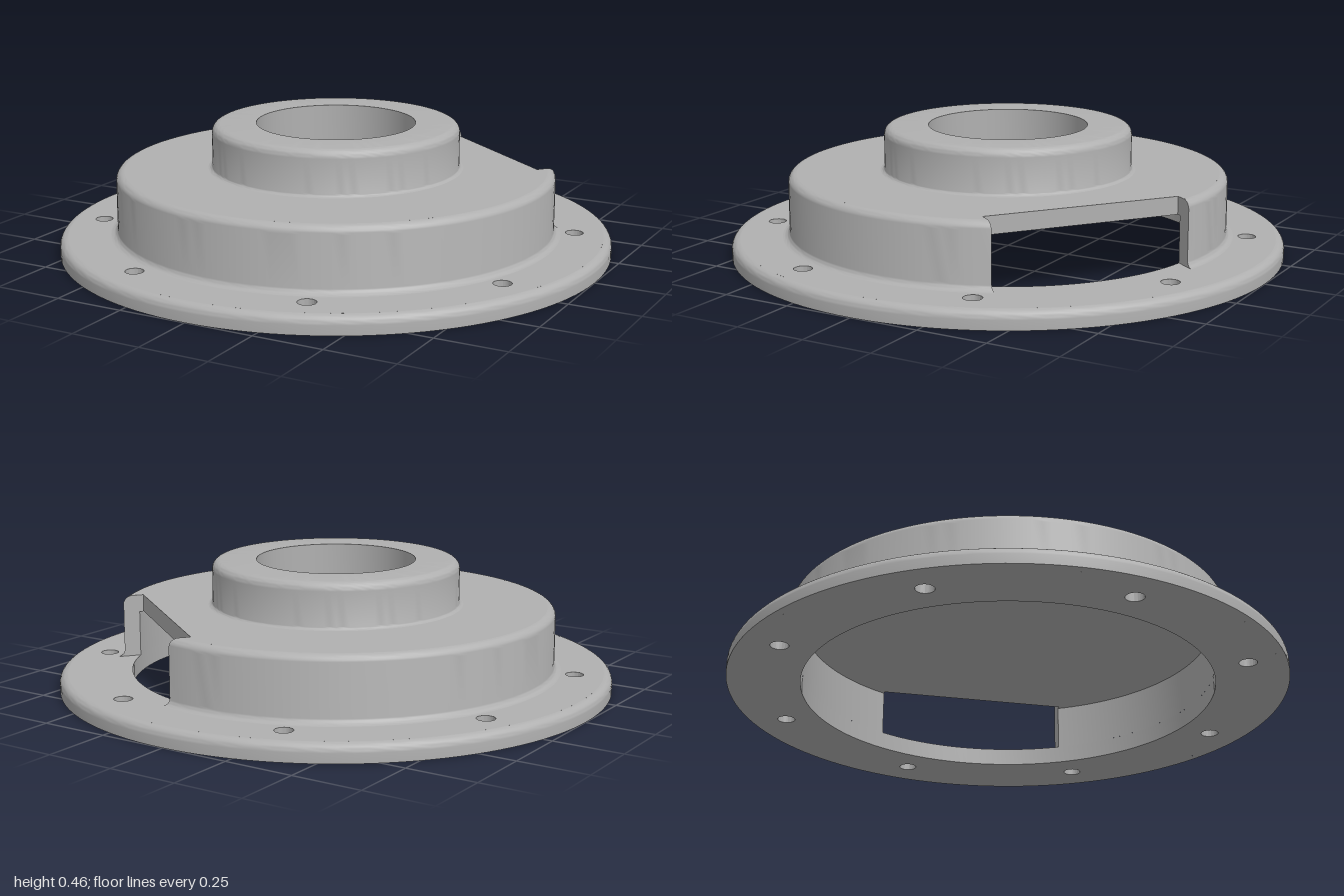
import * as THREE from 'three';
import { toCreasedNormals } from 'three/addons/utils/BufferGeometryUtils.js';

const FLANGE_TOP = 0.064, BODY_TOP = 0.293, BOSS_TOP = 0.455;
const CEILING = 0.23, CAVITY_R = 0.74, BODY_R = 0.793, ROUND = 0.03;
const NOTCH_HALF = 0.355, NOTCH_DEPTH = 0.634; // flat-sided notch through the wall

// Quarter-circle profile points around (cx, cy)
function arc(cx, cy, r, from, to) {
  return Array.from({ length: 8 }, (_, i) => {
    const a = from + ((to - from) * i) / 7;
    return new THREE.Vector2(cx + r * Math.cos(a), cy + r * Math.sin(a));
  });
}

// Wall rising from a base fillet to a rounded top edge
function stepProfile(r, y0, y1, fillet) {
  return [
    ...arc(r + fillet, y0 + fillet, fillet, 1.5 * Math.PI, Math.PI),
    ...arc(r - ROUND, y1 - ROUND, ROUND, 0, Math.PI / 2),
  ];
}

const lathe = (points) => toCreasedNormals(new THREE.LatheGeometry(points, 128), 0.6);

// Lathe whose sweep stops at the two parallel sides of the notch (facing +z)
function notchedLathe(points) {
  const geometry = new THREE.LatheGeometry(points, 128);
  const pos = geometry.attributes.position;
  const rows = points.length;
  for (let i = 0; i < pos.count; i++) {
    const p = points[i % rows];
    const gap = Math.asin(NOTCH_HALF / p.x);
    const phi = gap + (Math.floor(i / rows) / 128) * (2 * Math.PI - 2 * gap);
    pos.setXYZ(i, p.x * Math.sin(phi), p.y, p.x * Math.cos(phi));
  }
  return toCreasedNormals(geometry, 0.6);
}

// Plan shape extruded upwards between two heights
function slab(shape, y0, y1) {
  const geometry = new THREE.ExtrudeGeometry(shape, { depth: y1 - y0, bevelEnabled: false, curveSegments: 96 });
  geometry.rotateX(-Math.PI / 2).translate(0, y0, 0);
  return toCreasedNormals(geometry, 0.6);
}

export function createModel() {
  const model = new THREE.Group();
  model.name = 'flangedCover';
  const metal = new THREE.MeshStandardMaterial({ color: 0xb0b0b0 });
  metal.name = 'grey metal';
  const add = (parent, name, geometry) => {
    const mesh = new THREE.Mesh(geometry, metal);
    mesh.name = name;
    parent.add(mesh);
  };
  const v = (x, y) => new THREE.Vector2(x, y);

  // Flange plate with the cavity opening and eight bolt holes
  const plate = new THREE.Shape().absarc(0, 0, 1 - ROUND, 0, Math.PI * 2);
  const addHole = (x, y, r) => plate.holes.push(new THREE.Path().absarc(x, y, r, 0, Math.PI * 2, true));
  addHole(0, 0, CAVITY_R);
  for (let i = 0; i < 8; i++) {
    const a = ((i + 0.5) * Math.PI) / 4;
    addHole(0.867 * Math.cos(a), 0.867 * Math.sin(a), 0.032);
  }
  add(model, 'flange', slab(plate, 0, FLANGE_TOP));
  add(model, 'flangeRim', lathe([
    v(1 - ROUND, 0), v(1, 0), ...arc(1 - ROUND, FLANGE_TOP - ROUND, ROUND, 0, Math.PI / 2),
  ]));

  // Body, turned so that the notch points to the back left
  const body = new THREE.Group();
  body.name = 'body';
  body.rotation.y = Math.PI - 0.651;
  model.add(body);

  const outer = stepProfile(BODY_R, FLANGE_TOP, BODY_TOP, 0.025);
  add(body, 'outerWall', notchedLathe(outer));
  add(body, 'cavityWall', notchedLathe([v(CAVITY_R, CEILING), v(CAVITY_R, FLANGE_TOP)]));

  // Top plate, cut straight across at the notch
  const topR = BODY_R - ROUND;
  const gap = Math.asin(NOTCH_HALF / topR);
  const top = new THREE.Shape();
  top.absarc(0, 0, topR, -Math.PI / 2 + gap, 1.5 * Math.PI - gap);
  top.lineTo(-NOTCH_HALF, -NOTCH_DEPTH);
  top.lineTo(NOTCH_HALF, -NOTCH_DEPTH);
  add(body, 'topPlate', slab(top, CEILING, BODY_TOP));

  // Flat wall ends on both sides of the notch
  const section = [...outer, v(CAVITY_R, BODY_TOP), v(CAVITY_R, FLANGE_TOP)];
  for (const side of [1, -1]) {
    const cut = section.map((p) => v(side * Math.sqrt(p.x ** 2 - NOTCH_HALF ** 2), p.y));
    const end = new THREE.ShapeGeometry(new THREE.Shape(cut));
    end.rotateY((-side * Math.PI) / 2).translate(side * NOTCH_HALF, 0, 0);
    add(body, side > 0 ? 'notchEndA' : 'notchEndB', end);
  }

  // Central boss with a blind bore
  add(model, 'boss', lathe([
    ...stepProfile(0.447, BODY_TOP, BOSS_TOP, 0.015), v(0.287, BOSS_TOP), v(0.287, BODY_TOP),
  ]));
  return model;
}
